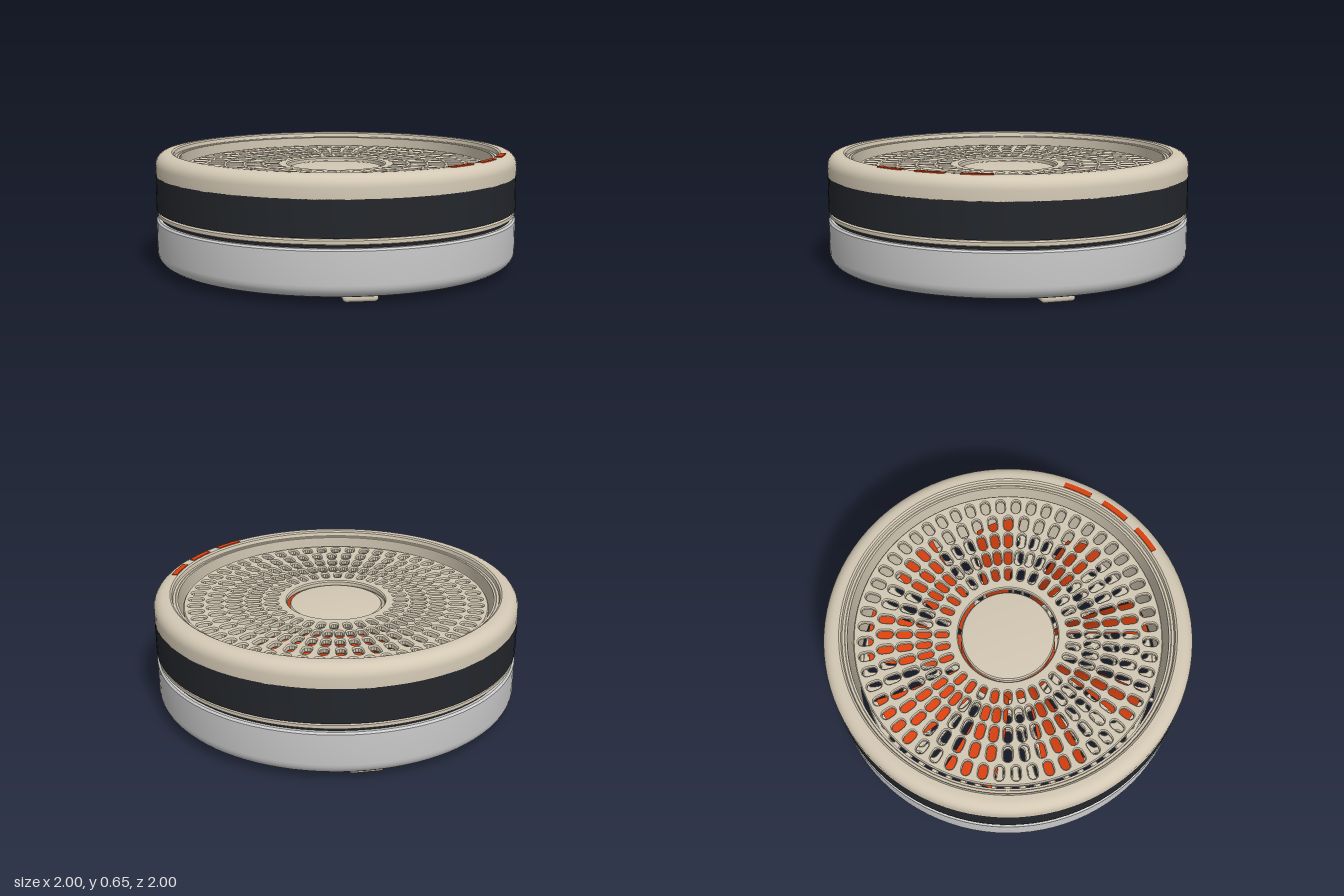
import * as THREE from 'three';
import { toCreasedNormals } from 'three/addons/utils/BufferGeometryUtils.js';
import { RoundedBoxGeometry } from 'three/addons/geometries/RoundedBoxGeometry.js';

const paint = (color, side = THREE.FrontSide) => new THREE.MeshStandardMaterial({ color, side });
const beige = paint(0xd3c8b4);
const dark = paint(0x23262b);
const grey = paint(0xcccccc);
const orange = paint(0xd9400f, THREE.DoubleSide);

export function createModel() {
  const model = new THREE.Group();

  const add = (name, geometry, material, parent = model) => {
    const mesh = new THREE.Mesh(geometry, material);
    mesh.name = name;
    parent.add(mesh);
    return mesh;
  };

  // Closed [radius, height] profile, outer side running upwards
  const turned = (name, profile, material, parent) => {
    const points = profile.map(([r, y]) => new THREE.Vector2(r, y));
    if (profile[0][0] > 0) points.push(points[0].clone());
    return add(name, toCreasedNormals(new THREE.LatheGeometry(points, 96), 0.6), material, parent);
  };

  // Rounded quarter turn of a profile, angles in degrees
  const corner = (r, y, radius, from, to) => Array.from({ length: 7 }, (_, i) => {
    const a = THREE.MathUtils.degToRad(from + (to - from) * i / 6);
    return [r + radius * Math.cos(a), y + radius * Math.sin(a)];
  });

  // Housing rings, from the bottom up
  turned('baseRing', [[0.87, 0.025], [0.9, 0.025], [0.915, 0.032], [0.915, 0.06], [0.87, 0.06]], beige);
  turned('lowerShell', [[0.88, 0.035], ...corner(0.93, 0.105, 0.07, -90, 0), [1, 0.275], [0.99, 0.285], [0.88, 0.285]], grey);
  turned('groove', [[0.872, 0.275], [0.975, 0.275], [0.975, 0.34], [0.872, 0.34]], dark);
  turned('trimRing', [[0.872, 0.3], [0.985, 0.3], [0.995, 0.307], [0.995, 0.325], [0.985, 0.332], [0.872, 0.332]], beige);
  turned('darkBand', [[0.872, 0.337], [1, 0.337], [1, 0.527], [0.872, 0.527]], dark);
  turned('upperRim', [
    [0.872, 0.525], [1, 0.525], ...corner(0.935, 0.58, 0.065, 0, 90),
    [0.91, 0.645], [0.9, 0.638], [0.895, 0.618], [0.882, 0.618], [0.872, 0.608]
  ], beige);
  turned('innerDuct', [[0.868, 0.04], [0.89, 0.04], [0.89, 0.615], [0.868, 0.615]], beige);

  // Slotted disc: rows of [radius, slot length, slot width, count, phase]
  const rows = [
    [0.36, 0.075, 0.036, 32, 0], [0.46, 0.085, 0.04, 48, 0], [0.565, 0.088, 0.044, 48, 0],
    [0.67, 0.088, 0.046, 48, 0], [0.775, 0.08, 0.046, 56, 0.5]
  ];
  const disc = new THREE.Shape().absarc(0, 0, 0.842, 0, Math.PI * 2);
  disc.holes.push(new THREE.Path().absarc(0, 0, 0.272, 0, Math.PI * 2, true));
  for (const [radius, length, width, count, phase] of rows) {
    for (let i = 0; i < count; i++) {
      const a = (i + phase) * Math.PI * 2 / count;
      const points = [];
      for (let k = 0; k < 12; k++) {
        const t = (k < 6 ? k : k - 6) / 5 * Math.PI - Math.PI / 2 + (k < 6 ? 0 : Math.PI);
        const r = radius + Math.sign(k < 6 ? 1 : -1) * (length - width) / 2 + Math.cos(t) * width / 2;
        const s = Math.sin(t) * width / 2;
        points.push(new THREE.Vector2(r * Math.cos(a) - s * Math.sin(a), r * Math.sin(a) + s * Math.cos(a)));
      }
      disc.holes.push(new THREE.Path(points));
    }
  }
  const grilleGeometry = new THREE.ExtrudeGeometry(disc, {
    depth: 0.02, curveSegments: 48, bevelEnabled: true, bevelThickness: 0.008,
    bevelSize: 0.006, bevelOffset: -0.006, bevelSegments: 1
  }).rotateX(-Math.PI / 2);
  for (const [name, y] of [['topGrille', 0.54], ['bottomGrille', 0.098]]) {
    add(name, grilleGeometry, beige).position.y = y;
  }

  // Centre caps and the motor between them
  turned('topCap', [[0, 0.515], [0.257, 0.515], [0.257, 0.54], [0.25, 0.549], [0.2, 0.553], [0, 0.557]], beige);
  turned('bottomCap', [[0, 0.092], [0.26, 0.092], [0.268, 0.1], [0.268, 0.13], [0, 0.13]], beige);
  add('motor', new THREE.CylinderGeometry(0.2, 0.2, 0.4, 48), beige).position.y = 0.32;

  // Fan: hub and nine swept, pitched blades
  const fan = new THREE.Group();
  fan.name = 'fan';
  model.add(fan);
  turned('fanHub', [[0.19, 0.2], [0.262, 0.2], [0.262, 0.44], [0.25, 0.455], [0.19, 0.455]], orange, fan);
  const blade = new THREE.PlaneGeometry(1, 2, 10, 8);
  const p = blade.attributes.position;
  for (let i = 0; i < p.count; i++) {
    const u = p.getX(i) + 0.5, v = p.getY(i);
    const r = 0.25 + 0.54 * u;
    const a = v * (0.19 - 0.02 * u) + 0.12 * u;
    p.setXYZ(i, r * Math.cos(a), 0.33 + v * (0.1 - 0.03 * u) + 0.02 * (1 - v * v), r * Math.sin(a));
  }
  blade.computeVertexNormals();
  for (let i = 0; i < 9; i++) {
    add('fanBlade', blade, orange, fan).rotation.y = Math.PI / 2 + 0.1 + i * Math.PI * 2 / 9;
  }

  // Three struts under the bottom grille
  for (let i = 0; i < 3; i++) {
    const strut = add('strut', new THREE.BoxGeometry(0.61, 0.02, 0.022).translate(0.565, 0.082, 0), beige);
    strut.rotation.y = Math.PI + i * Math.PI * 2 / 3;
  }

  // Four feet on the diagonals
  const foot = new RoundedBoxGeometry(0.1, 0.045, 0.18, 4, 0.02).translate(0.87, 0.0225, 0);
  for (let i = 0; i < 4; i++) {
    add('foot', foot, beige).rotation.y = Math.PI / 4 + i * Math.PI / 2;
  }

  // Three curved indicator bars on the left of the rim
  const bar = new THREE.Shape();
  bar.absarc(0, 0, 0.942, -0.087, 0.087, false);
  bar.absarc(0, 0, 0.912, 0.087, -0.087, true);
  const barGeometry = new THREE.ExtrudeGeometry(bar, { depth: 0.012, bevelEnabled: false }).rotateX(-Math.PI / 2);
  for (const degrees of [20, 5, -10]) {
    const light = add('indicatorBar', barGeometry, orange);
    light.position.y = 0.638;
    light.rotation.y = THREE.MathUtils.degToRad(degrees);
  }

  return model;
}
